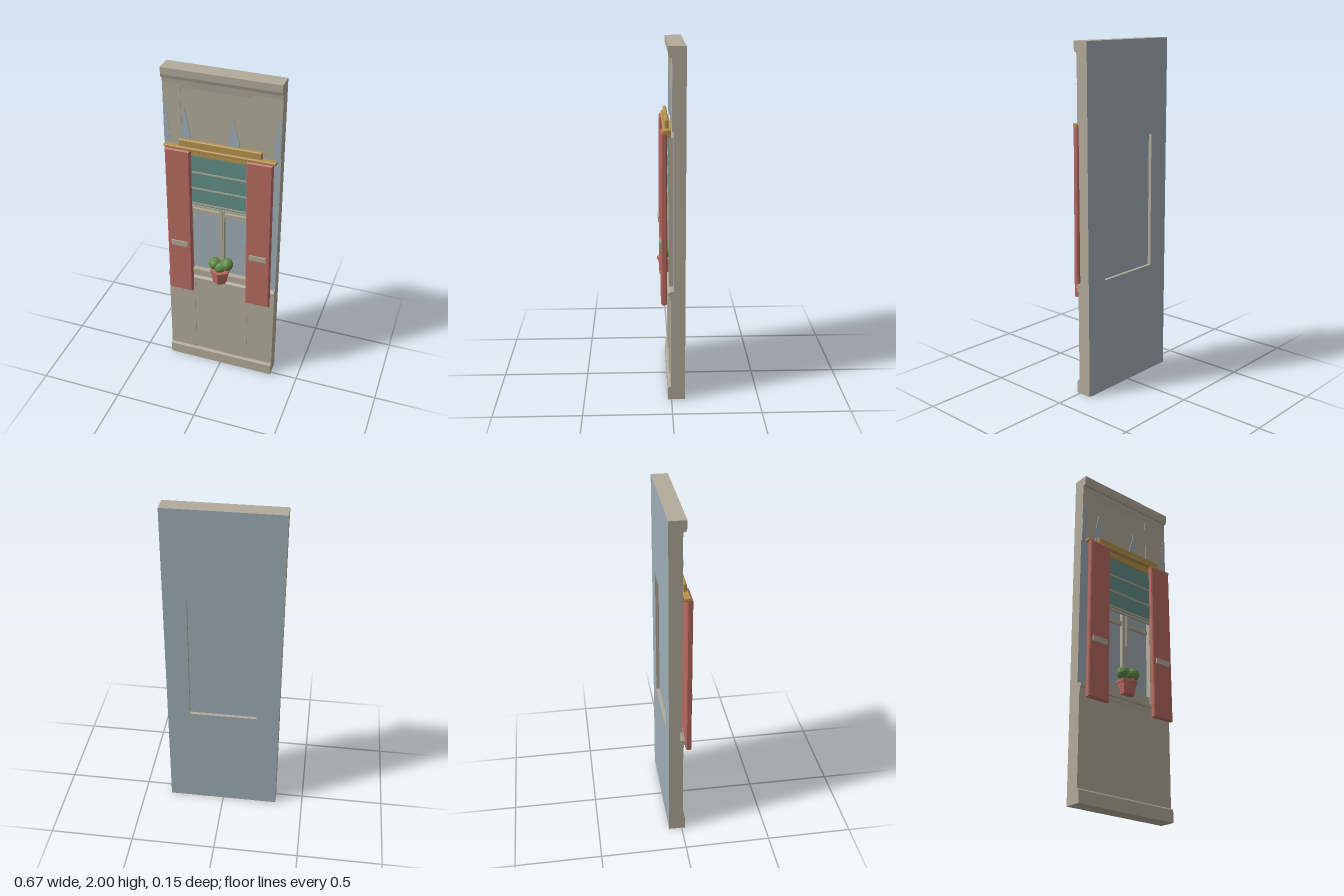
import * as THREE from 'three';

const mat = (name, color) => Object.assign(new THREE.MeshStandardMaterial({ color }), { name });

export function createModel() {
  const model = new THREE.Group();
  model.name = 'shutteredWindowWall';
  const taupe = mat('taupe wood', 0xb3ab9a);
  const blue = mat('grey blue wall', 0x9fadb7);
  const red = mat('brick red', 0xb86a5f);
  const teal = mat('teal blind', 0x628f87);
  const ochre = mat('ochre', 0xb5924f);
  const green = mat('leaf green', 0x5f8a45);

  const add = (name, geo, material, parent = model) => {
    const mesh = new THREE.Mesh(geo, material);
    mesh.name = name;
    parent.add(mesh);
    return mesh;
  };
  // box given by its limits
  const box = (name, m, x0, x1, y0, y1, z0, z1, parent) => {
    const mesh = add(name, new THREE.BoxGeometry(x1 - x0, y1 - y0, z1 - z0), m, parent);
    mesh.position.set((x0 + x1) / 2, (y0 + y1) / 2, (z0 + z1) / 2);
    return mesh;
  };
  const shapeOf = (pts) => new THREE.Shape(pts.map((p) => new THREE.Vector2(...p)));
  const rect = (x0, x1, y0, y1) => [[x0, y0], [x1, y0], [x1, y1], [x0, y1]];
  // profile of [z, y] points swept along x
  const moulding = (name, m, halfWidth, pts) => {
    const geo = new THREE.ExtrudeGeometry(shapeOf(pts), { depth: 2 * halfWidth, bevelEnabled: false });
    geo.translate(0, 0, -halfWidth).rotateY(-Math.PI / 2);
    return add(name, geo, m);
  };
  // box with chamfered edges, centred
  const chamferBox = (w, h, d, b) => {
    const geo = new THREE.ExtrudeGeometry(shapeOf(rect(-w / 2 + b, w / 2 - b, -h / 2 + b, h / 2 - b)), {
      depth: d - 2 * b, bevelThickness: b, bevelSize: b, bevelSegments: 1,
    });
    return geo.translate(0, 0, -d / 2 + b);
  };
  const flat = (geo) => {
    const g = geo.index ? geo.toNonIndexed() : geo;
    g.computeVertexNormals();
    return g;
  };
  const W = 0.333;

  // wall slab with the window opening
  const wall = shapeOf(rect(-W, W, 0, 2));
  wall.holes.push(new THREE.Path(rect(-0.2, 0.2, 0.67, 1.46).map((p) => new THREE.Vector2(...p))));
  const slab = new THREE.ExtrudeGeometry(wall, { depth: 0.065, bevelEnabled: false });
  add('wallSlab', slab.translate(0, 0, -0.077), [blue, taupe]);
  box('windowPane', blue, -0.2, 0.2, 0.67, 1.46, -0.057, -0.03);

  // upright boards below and above the window
  const boards = (name, edges, y0, y1, z) => {
    for (let i = 0; i < edges.length - 1; i++) {
      box(name, taupe, edges[i], edges[i + 1], y0, y1, -0.013, z - (i % 2) * 0.003);
    }
  };
  boards('lowerBoard', [-W, -0.167, 0, 0.167, W], 0.07, 0.62, 0.006);
  boards('upperBoard', [-W, -0.23, 0.167, W], 1.56, 1.95, -0.003);

  // worn patches on the upper boards: left, right, peak x, peak y
  for (const [x0, x1, px, py] of [
    [-0.332, -0.3, -0.325, 1.83], [-0.235, -0.18, -0.212, 1.78],
    [0.04, 0.1, 0.065, 1.76], [0.295, 0.332, 0.322, 1.82],
  ]) {
    const pts = [[x0, 1.56], [x1, 1.56], [x1, 1.62], [px + 0.01, py - 0.04], [px, py], [px - 0.007, py - 0.05], [x0, 1.66]];
    const geo = new THREE.ExtrudeGeometry(shapeOf(pts), { depth: 0.005, bevelEnabled: false });
    add('wornPatch', geo.translate(0, 0, -0.0065), blue);
  }

  // base and top mouldings
  moulding('baseMoulding', taupe, W, [[-0.02, 0], [0.02, 0], [0.02, 0.07], [0.012, 0.08], [-0.02, 0.08]]);
  moulding('topMoulding', taupe, W, [[-0.02, 1.89], [-0.005, 1.89], [0, 1.94], [0.012, 1.94], [0.018, 1.96], [0.018, 2], [-0.02, 2]]);

  // window frame
  for (const s of [-1, 1]) {
    const x = s * 0.215;
    box('sideJamb', taupe, x - 0.035, x + 0.035, 0.65, 1.51, -0.02, 0.012);
  }
  box('bottomRail', taupe, -0.2, 0.2, 0.65, 0.705, -0.035, 0.002);
  box('topRail', taupe, -0.2, 0.2, 1.44, 1.51, -0.03, 0.005);
  box('mullion', taupe, -0.015, 0.015, 0.68, 1.46, -0.035, -0.008);
  box('crossRail', taupe, -0.2, 0.2, 1.11, 1.135, -0.035, -0.012);
  moulding('sill', taupe, W, [[-0.02, 0.615], [0.01, 0.615], [0.01, 0.633], [0.02, 0.638], [0.02, 0.655], [0.005, 0.662], [-0.02, 0.662]]);

  // roller blind with pale battens and a pull cord
  box('blind', teal, -0.19, 0.19, 1.18, 1.51, 0.006, 0.014);
  for (const y of [1.193, 1.293, 1.397]) box('blindBatten', taupe, -0.19, 0.19, y - 0.005, y + 0.005, 0.012, 0.017);
  box('blindBottomRail', taupe, -0.19, 0.19, 1.168, 1.181, 0.004, 0.018);
  box('pullCord', taupe, -0.005, 0.01, 0.97, 1.17, 0.008, 0.014);

  // header above the window
  box('headerBoard', ochre, -0.25, 0.25, 1.508, 1.55, 0, 0.024);
  const cap = add('headerCap', chamferBox(0.64, 0.016, 0.034, 0.004), ochre);
  cap.position.set(0, 1.553, 0.029);
  cap.rotation.y = -0.005;
  const crown = add('headerCrown', chamferBox(0.475, 0.048, 0.022, 0.005), ochre);
  crown.position.set(0.002, 1.578, 0.024);

  // shutters with handles, one hanging slightly askew
  for (const s of [-1, 1]) {
    const shutter = new THREE.Group();
    shutter.name = s > 0 ? 'leftShutter' : 'rightShutter';
    add('shutterPanel', chamferBox(0.146, 0.97, 0.032, 0.006), red, shutter);
    box('handle', taupe, -0.051, 0.051, -0.155, -0.122, 0.012, 0.023, shutter);
    shutter.position.set(s * 0.2375, 1.06, 0.041);
    shutter.rotation.z = s > 0 ? 0.008 : 0;
    model.add(shutter);
  }

  // flower pot with a leafy plant
  const plant = new THREE.Group();
  plant.name = 'pottedPlant';
  plant.position.set(-0.002, 0, 0.013);
  add('pot', flat(new THREE.CylinderGeometry(0.055, 0.044, 0.075, 6)), red, plant).position.y = 0.705;
  add('potRim', flat(new THREE.CylinderGeometry(0.061, 0.06, 0.018, 6)), red, plant).position.y = 0.744;
  for (const [x, y, z, r] of [[-0.032, 0.795, 0.006, 0.038], [0.042, 0.802, 0.004, 0.039], [0.002, 0.78, 0.012, 0.037]]) {
    const leaf = add('leafClump', flat(new THREE.IcosahedronGeometry(r, 1)), green, plant);
    leaf.position.set(x, y, z);
    leaf.rotation.set(x * 9, y, 0.4);
  }
  model.add(plant);

  return model;
}
